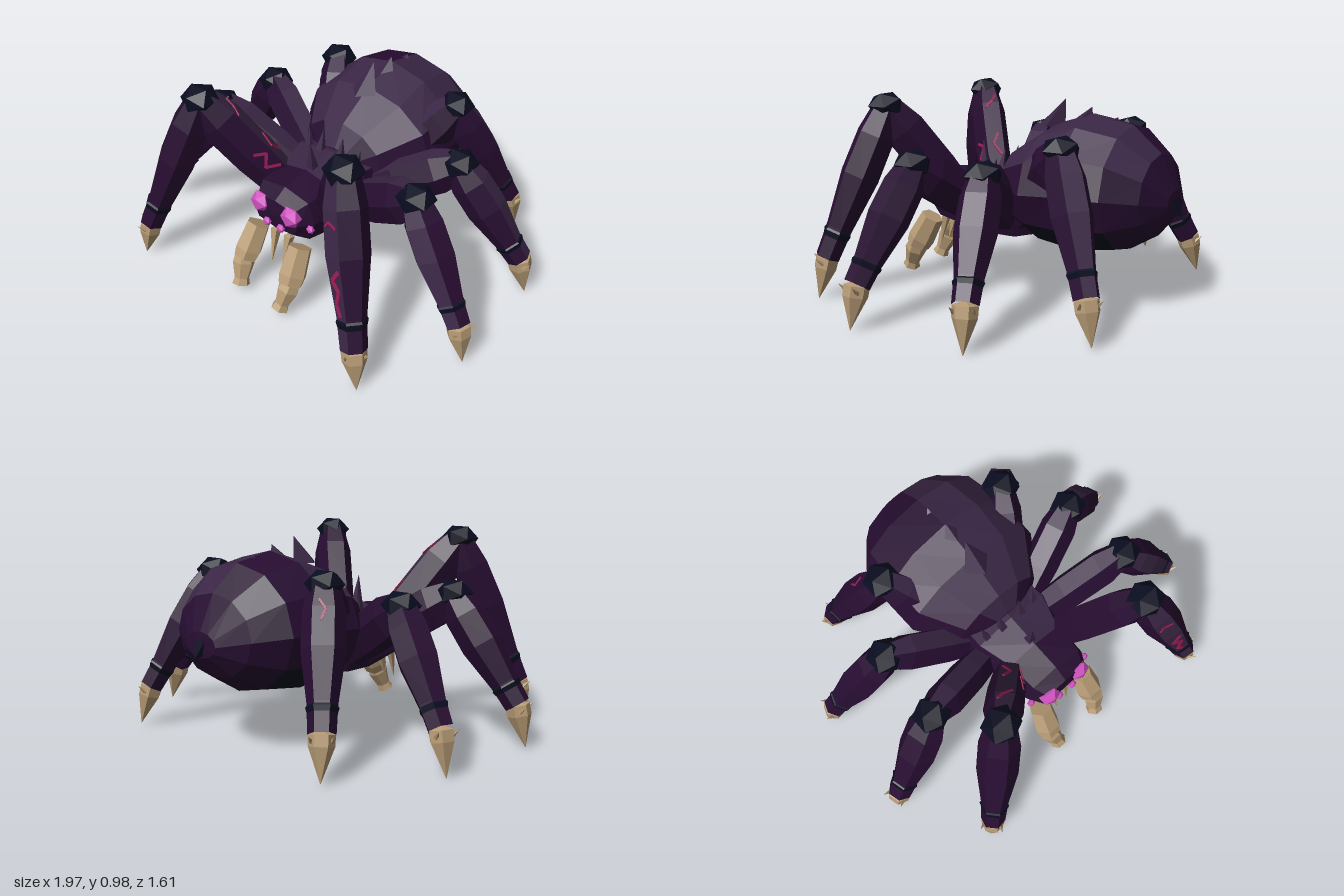
import * as THREE from 'three';

const mat = (name, color) => {
  const m = new THREE.MeshStandardMaterial({ color, flatShading: true });
  m.name = name;
  return m;
};
const purple = mat('dark purple', 0x270d31);
const dusk = mat('dusky purple', 0x3a2645);
const navy = mat('navy', 0x0a0d20);
const tan = mat('tan', 0xb89c76);
const pink = mat('pink', 0xd050c0);
const crimson = mat('crimson', 0x9c1c55);
const V = (x, y, z) => new THREE.Vector3(x, y, z);

// Put a mesh at a with its y axis toward b and its z axis toward out
function place(mesh, a, b, out) {
  const y = b.clone().sub(a).normalize();
  const x = y.clone().cross(out).normalize();
  mesh.quaternion.setFromRotationMatrix(new THREE.Matrix4().makeBasis(x, y, x.clone().cross(y)));
  mesh.position.copy(a);
  return mesh;
}

// Faceted segment from a to b; profile is [t, radius]; facet `ridge` is dusky
// (5 faces outward, 0 is its neighbour toward local +x)
function segment(name, a, b, out, profile, material, ridge = -1, sides = 6) {
  const len = a.distanceTo(b);
  const pts = profile.map(([t, r]) => new THREE.Vector2(r, t * len));
  const geo = new THREE.LatheGeometry(pts, sides, Math.PI / sides);
  let mats = material;
  if (ridge >= 0) {
    const per = 6 * (pts.length - 1);
    for (let i = 0; i < sides; i++) geo.addGroup(per * i, per, i === ridge ? 1 : 0);
    mats = [material, dusk];
  }
  const mesh = new THREE.Mesh(geo, mats);
  mesh.name = name;
  return place(mesh, a, b, out);
}

const spike = (name, a, b, r, material) =>
  segment(name, a, b, V(0, 0, 1), [[-0.05, 0], [0, r], [1, 0.0005]], material, -1, 4);

// Upright pyramid on a level base whose tip leans backward
function leaningSpike(y, z, r, h, lean) {
  const geo = new THREE.ConeGeometry(r, h, 4);
  geo.translate(0, h / 2, 0);
  geo.applyMatrix4(new THREE.Matrix4().makeShear(0, 0, 0, -lean / h, 0, 0));
  const mesh = new THREE.Mesh(geo, dusk);
  mesh.name = 'backSpike';
  mesh.position.set(0, y, z);
  return mesh;
}

// Body from stations [z, top, bottom, halfWidth]; power below 1 squares the section.
// pick gives each facet 0 purple, 1 dusky or 2 navy from its normal and centre
function body(name, stations, sides, power, pick) {
  const bend = (v) => Math.sign(v) * Math.abs(v) ** power;
  const rings = stations.map(([z, top, bottom, hw]) => {
    const cy = (top + bottom) / 2, hh = (top - bottom) / 2;
    return Array.from({ length: sides }, (_, i) => {
      const a = (i / sides) * Math.PI * 2;
      return V(hw * bend(Math.sin(a)), cy + hh * bend(Math.cos(a)), z);
    });
  });
  const buckets = [[], [], []];
  const tri = (a, b, c) => {
    const n = b.clone().sub(a).cross(c.clone().sub(a));
    if (n.length() < 1e-7) return;
    const mid = a.clone().add(b).add(c).divideScalar(3);
    const bucket = buckets[pick(n.normalize(), mid)];
    for (const p of [a, b, c]) bucket.push(p.x, p.y, p.z);
  };
  for (let k = 0; k < rings.length - 1; k++) {
    for (let i = 0; i < sides; i++) {
      const j = (i + 1) % sides;
      tri(rings[k][i], rings[k][j], rings[k + 1][i]);
      tri(rings[k][j], rings[k + 1][j], rings[k + 1][i]);
    }
  }
  const geo = new THREE.BufferGeometry();
  geo.setAttribute('position', new THREE.Float32BufferAttribute(buckets.flat(), 3));
  let start = 0;
  buckets.forEach((bk, i) => { geo.addGroup(start, bk.length / 3, i); start += bk.length / 3; });
  geo.computeVertexNormals();
  const mesh = new THREE.Mesh(geo, [purple, dusk, navy]);
  mesh.name = name;
  return mesh;
}

const THIGH = [[0, 0.075], [0.4, 0.09], [0.8, 0.09], [1, 0.065]];
const SHIN = [[0, 0.07], [0.18, 0.095], [0.45, 0.097], [0.8, 0.066], [1, 0.06]];

// Thin cracked line on one facet of a limb, turned by angle, through points [side, t]
function vein(limb, len, profile, angle, width, path) {
  const pts = path.map(([x, t]) => {
    const k = profile.findIndex(([u]) => u > t);
    const [t0, r0] = profile[k - 1], [t1, r1] = profile[k];
    const r = r0 + ((r1 - r0) * (t - t0)) / (t1 - t0);
    return V(x, t * len, r * Math.cos(Math.PI / 6) + 0.002);
  });
  const g = new THREE.Group();
  g.name = 'vein';
  g.rotation.y = angle;
  for (let i = 0; i < pts.length - 1; i++) {
    const d = pts[i].distanceTo(pts[i + 1]);
    const geo = new THREE.BoxGeometry(width, d, 0.005);
    geo.translate(0, d / 2, 0);
    g.add(place(new THREE.Mesh(geo, crimson), pts[i], pts[i + 1], V(0, 0, 1)));
  }
  limb.add(g);
}

// One leg: thigh, knee cap, shin, ankle band, claw and barbs; veins are [limb, angle, width, path]
function leg(name, s, joints, thighRidge, shinRidge, veins) {
  const g = new THREE.Group();
  g.name = name;
  const [h, k, e, t] = joints.map(([x, y, z]) => V(x * s, y, z));
  const out = V(e.x - k.x, 0, e.z - k.z).normalize();
  const thigh = segment('thigh', h, k, V(0, 1, 0), THIGH, purple, thighRidge);
  thigh.scale.z = 1.25;
  const shin = segment('shin', k, e, out, SHIN, purple, shinRidge);
  const cap = new THREE.Mesh(new THREE.IcosahedronGeometry(0.092, 0), navy);
  cap.name = 'kneeCap';
  cap.scale.y = 0.75;
  cap.position.copy(k);
  cap.position.y += 0.013;
  const band = segment('ankleBand', k.clone().lerp(e, 0.81), k.clone().lerp(e, 0.87), out,
    [[0, 0.064], [0.3, 0.071], [1, 0.063]], navy);
  const claw = segment('claw', e, t, out, [[-0.1, 0], [0, 0.058], [0.25, 0.056], [1, 0.001]], tan);
  g.add(thigh, shin, cap, band, claw);
  for (const [limb, angle, width, path] of veins) {
    if (limb === 'thigh') vein(thigh, h.distanceTo(k), THIGH, angle, width, path);
    else vein(shin, k.distanceTo(e), SHIN, angle, width, path);
  }
  const side = out.clone().cross(V(0, 1, 0));
  for (const d of [-1, 1]) {
    const base = e.clone().addScaledVector(side, d * 0.04).addScaledVector(out, 0.025);
    base.y -= 0.025;
    const p = base.clone().addScaledVector(side, d * 0.012).addScaledVector(out, 0.035);
    p.y += 0.035;
    g.add(spike('barb', base, p, 0.012, tan));
  }
  return g;
}

export function createModel() {
  const model = new THREE.Group();
  model.name = 'spider';

  // Abdomen, then head and thorax
  model.add(body('abdomen', [
    [0.11, 0.55, 0.5, 0], [0.1, 0.61, 0.43, 0.12], [0.04, 0.72, 0.36, 0.24], [-0.15, 0.84, 0.28, 0.385],
    [-0.34, 0.9, 0.245, 0.39], [-0.54, 0.86, 0.275, 0.36], [-0.68, 0.74, 0.36, 0.25],
    [-0.755, 0.58, 0.46, 0.1], [-0.76, 0.52, 0.52, 0],
  ], 12, 1, (n, p) => {
    if (n.y < -0.5 && p.z > -0.56) return 2;
    return n.y > 0.45 && (p.z > -0.33 || p.x > 0.05) ? 1 : 0;
  }));
  model.add(body('headAndThorax', [
    [0.53, 0.46, 0.46, 0], [0.52, 0.54, 0.38, 0.14], [0.45, 0.58, 0.32, 0.18], [0.3, 0.59, 0.285, 0.19],
    [0.13, 0.61, 0.275, 0.25], [-0.02, 0.58, 0.275, 0.24], [-0.1, 0.48, 0.3, 0.17], [-0.12, 0.4, 0.4, 0],
  ], 8, 0.65, (n, p) => (n.y < -0.7 ? 2 : n.y > 0.75 && p.z < 0.3 ? 1 : 0)));

  // Spikes along the back, head spike and tail tip
  model.add(
    leaningSpike(0.83, -0.12, 0.07, 0.13, 0.07),
    leaningSpike(0.87, -0.29, 0.045, 0.06, 0.04),
    leaningSpike(0.865, -0.43, 0.035, 0.025, 0.035),
    spike('headSpike', V(0, 0.56, 0.26), V(0, 0.73, 0.275), 0.035, dusk),
    spike('tailTip', V(0, 0.53, -0.72), V(0, 0.46, -0.79), 0.06, navy),
  );

  // Legs: hip, knee, shin end and claw tip, then dusky facets and veins for the left and right one
  const side = Math.PI / 3;
  const legs = [
    ['frontLeg', [[0.14, 0.41, 0.28], [0.43, 0.915, 0.54], [0.66, 0.21, 0.745], [0.7, 0.01, 0.775]],
      [-1, 0, [['shin', side, 0.02, [[-0.03, 0.52], [0.02, 0.58], [-0.015, 0.64], [0.015, 0.72], [0, 0.79]]],
        ['shin', side, 0.01, [[-0.035, 0.28], [0.01, 0.25], [0.035, 0.28]]]]],
      [5, -1, [['thigh', -side, 0.013, [[0.03, 0.25], [-0.02, 0.32], [0.02, 0.4], [-0.02, 0.46]]],
        ['thigh', 0, 0.012, [[0.03, 0.3], [-0.01, 0.4], [0.02, 0.5]]],
        ['thigh', 0, 0.012, [[-0.03, 0.75], [0.01, 0.82], [0.03, 0.88]]]]]],
    ['secondLeg', [[0.15, 0.4, 0.14], [0.6, 0.69, 0.26], [0.915, 0.21, 0.34], [0.96, 0.015, 0.35]],
      [5, 0, []], [5, -1, []]],
    ['thirdLeg', [[0.15, 0.4, 0.05], [0.58, 0.67, -0.1], [0.89, 0.21, -0.21], [0.935, 0.01, -0.225]],
      [5, 5, []], [5, -1, []]],
    ['rearLeg', [[0.14, 0.41, -0.02], [0.37, 0.77, -0.365], [0.585, 0.21, -0.605], [0.62, 0.02, -0.65]],
      [5, 5, []], [5, -1, [['shin', 0, 0.01, [[0.02, 0.13], [-0.01, 0.2], [0.01, 0.28]]]]]],
  ];
  for (const s of [1, -1]) {
    for (const [name, joints, left, right] of legs)
      model.add(leg((s > 0 ? 'left ' : 'right ') + name, s, joints, ...(s > 0 ? left : right)));

    // Eyes: [x, y, z, radius]
    for (const [x, y, z, r] of [[0.095, 0.49, 0.515, 0.056], [0.043, 0.41, 0.535, 0.023], [0.175, 0.435, 0.475, 0.022]]) {
      const eye = new THREE.Mesh(new THREE.IcosahedronGeometry(r, 0), pink);
      eye.name = 'eye';
      eye.scale.z = 0.8;
      eye.position.set(s * x, y, z);
      model.add(eye);
    }

    // Jaws, small fangs and paired head spikes
    model.add(
      segment('upperJaw', V(s * 0.135, 0.33, 0.505), V(s * 0.148, 0.17, 0.595), V(0, 0, 1),
        [[0, 0], [0, 0.058], [0.75, 0.068], [1, 0.06], [1, 0]], tan),
      segment('lowerJaw', V(s * 0.155, 0.19, 0.59), V(s * 0.13, 0.045, 0.655), V(0, 0, 1),
        [[0, 0.045], [0.3, 0.055], [0.8, 0.036], [1, 0.044], [1, 0]], tan),
      spike('fang', V(s * 0.043, 0.33, 0.48), V(s * 0.033, 0.16, 0.53), 0.026, tan),
      spike('headSpike', V(s * 0.06, 0.57, 0.14), V(s * 0.06, 0.7, 0.11), 0.032, dusk),
      spike('headSpike', V(s * 0.14, 0.54, 0.13), V(s * 0.16, 0.67, 0.1), 0.032, dusk),
    );
  }
  return model;
}
